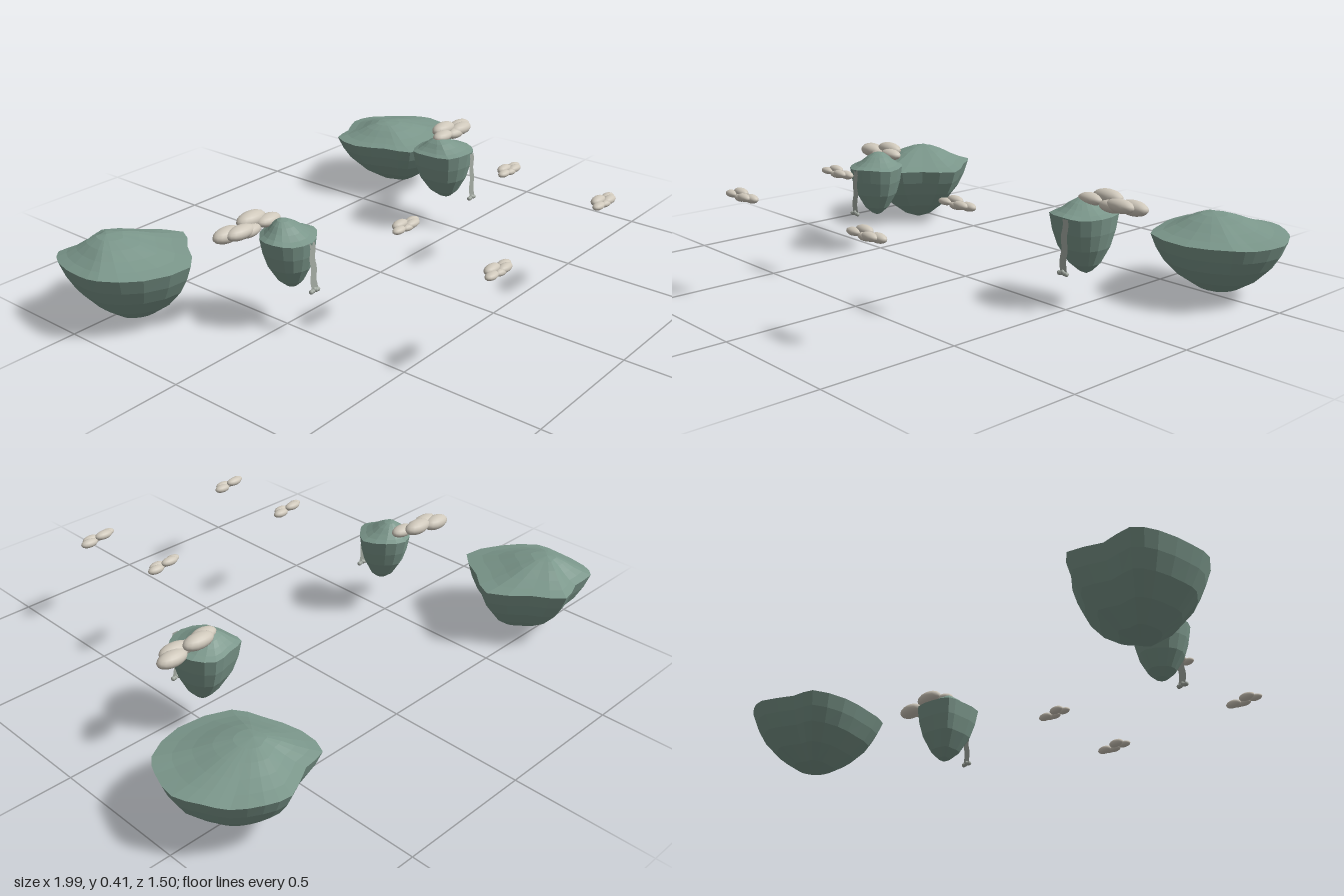
import * as THREE from 'three';

const green = new THREE.MeshStandardMaterial({ color: 0x7b978b, flatShading: true });
green.name = 'mossGreen';
const cream = new THREE.MeshStandardMaterial({ color: 0xcfc8bb });
cream.name = 'cloudCream';
const water = new THREE.MeshStandardMaterial({ color: 0xa3aaa2, side: THREE.DoubleSide });
water.name = 'paleWater';

// Outlines run clockwise seen from above: [x, z]
const ISLANDS = [
  {
    name: 'largeRightIsland', rimY: 0.235, peak: [-0.83, 0.305, -0.5], tip: [-0.785, 0, -0.436], steep: false,
    outline: [[-0.72, -0.67], [-0.64, -0.57], [-0.55, -0.44], [-0.63, -0.33], [-0.73, -0.205], [-0.89, -0.25],
      [-0.99, -0.355], [-1, -0.44], [-0.98, -0.57], [-0.93, -0.635], [-0.83, -0.635]],
  },
  {
    name: 'largeLeftIsland', rimY: 0.225, peak: [0.69, 0.285, -0.53], tip: [0.75, 0.012, -0.5], steep: false,
    outline: [[0.745, -0.75], [0.83, -0.73], [0.91, -0.67], [0.955, -0.6], [0.99, -0.515], [0.96, -0.4],
      [0.92, -0.335], [0.77, -0.275], [0.59, -0.32], [0.55, -0.42], [0.51, -0.55], [0.54, -0.67], [0.63, -0.69]],
  },
  {
    name: 'smallRightIsland', rimY: 0.333, peak: [-0.505, 0.388, -0.005], tip: [-0.49, 0.143, 0.02], steep: true,
    outline: [[-0.495, -0.09], [-0.425, -0.055], [-0.39, 0.03], [-0.44, 0.09], [-0.495, 0.12], [-0.56, 0.095],
      [-0.595, 0.04], [-0.58, -0.035]],
  },
  {
    name: 'smallLeftIsland', rimY: 0.322, peak: [0.475, 0.37, -0.1], tip: [0.515, 0.115, -0.08], steep: true,
    outline: [[0.4, -0.16], [0.47, -0.185], [0.54, -0.195], [0.595, -0.14], [0.605, -0.05], [0.565, 0.01],
      [0.5, 0.03], [0.415, 0], [0.395, -0.1]],
  },
];

// Profiles: [spread from apex, height fraction from rim to apex]
const HILL = [[1, 0], [0.8, 0.16], [0.6, 0.4], [0.4, 0.7], [0.2, 0.92]];
const BOWL = [[1, 0], [0.92, 0.22], [0.8, 0.44], [0.58, 0.69], [0.3, 0.89]];
const STEEP_BOWL = [[1, 0], [0.92, 0.27], [0.77, 0.54], [0.47, 0.82], [0.2, 0.95]];

// Rings shrinking from the rim towards an apex, closed by a fan
function shell(rim, apex, profile, faceUp) {
  const n = rim.length;
  const positions = [];
  const index = [];
  for (const [spread, h] of profile) {
    for (const p of rim) {
      positions.push(
        apex[0] + (p.x - apex[0]) * spread,
        p.y + (apex[1] - p.y) * h,
        apex[2] + (p.z - apex[2]) * spread,
      );
    }
  }
  positions.push(...apex);
  const tri = (a, b, c) => (faceUp ? index.push(a, c, b) : index.push(a, b, c));
  for (let r = 0; r < profile.length; r++) {
    for (let i = 0; i < n; i++) {
      const j = (i + 1) % n;
      const a = r * n + i, b = r * n + j;
      if (r === profile.length - 1) {
        tri(a, b, profile.length * n);
      } else {
        tri(a, b, b + n);
        tri(a, b + n, a + n);
      }
    }
  }
  const geometry = new THREE.BufferGeometry();
  geometry.setAttribute('position', new THREE.Float32BufferAttribute(positions, 3));
  geometry.setIndex(index);
  geometry.computeVertexNormals();
  return geometry;
}

function addMesh(parent, name, geometry, material) {
  const mesh = new THREE.Mesh(geometry, material);
  mesh.name = name;
  parent.add(mesh);
  return mesh;
}

function island({ name, rimY, peak, tip, steep, outline }) {
  const group = new THREE.Group();
  group.name = name;
  const points = outline.map(([x, z], i) => new THREE.Vector3(x, rimY + 0.003 * Math.sin(i * 2.3), z));
  const rim = new THREE.CatmullRomCurve3(points, true).getPoints(outline.length * 2).slice(0, -1);
  addMesh(group, 'hill', shell(rim, peak, HILL, true), green);
  addMesh(group, 'rockUnderside', shell(rim, tip, steep ? STEEP_BOWL : BOWL, false), green);
  return group;
}

// Puffs in units of cloud width: [x, y, z, radiusX, radiusY, radiusZ]
const PUFFS = [
  [-0.31, 0.01, 0.06, 0.19, 0.08, 0.11],
  [-0.13, 0.05, -0.06, 0.23, 0.1, 0.12],
  [0.02, -0.03, 0.05, 0.19, 0.08, 0.1],
  [0.16, 0.0, 0.05, 0.22, 0.09, 0.11],
  [0.28, -0.02, -0.06, 0.22, 0.1, 0.12],
];
const puffGeometry = new THREE.SphereGeometry(1, 16, 10);

function cloud(name, x, y, z, width, flip) {
  const group = new THREE.Group();
  group.name = name;
  for (const [px, py, pz, rx, ry, rz] of PUFFS) {
    const puff = addMesh(group, 'puff', puffGeometry, cream);
    puff.position.set(px * flip, py, pz);
    puff.scale.set(rx, ry, rz);
  }
  group.position.set(x, y, z);
  group.scale.setScalar(width);
  return group;
}

// Thin wavering ribbon with a row of foam at its foot
function waterfall(name, x, z, top, bottom) {
  const group = new THREE.Group();
  group.name = name;
  const height = top - bottom;
  const ribbon = new THREE.PlaneGeometry(0.024, height, 2, 10);
  const p = ribbon.attributes.position;
  for (let i = 0; i < p.count; i++) {
    const t = 0.5 - p.getY(i) / height;
    p.setX(i, p.getX(i) * (1 + 0.3 * t) + 0.003 * Math.sin(t * 14));
    p.setZ(i, 0.006 * t);
  }
  ribbon.computeVertexNormals();
  addMesh(group, 'fallingWater', ribbon, water).position.y = (top + bottom) / 2;
  for (let i = -2; i <= 2; i++) {
    const foam = addMesh(group, 'foam', puffGeometry, water);
    foam.position.set(i * 0.008, bottom + 0.003 * Math.cos(i * 2), 0.006);
    foam.scale.setScalar(0.008);
  }
  group.position.set(x, 0, z);
  return group;
}

export function createModel() {
  const model = new THREE.Group();
  model.name = 'floatingIslands';
  for (const spec of ISLANDS) model.add(island(spec));

  model.add(waterfall('rightWaterfall', -0.495, 0.118, 0.333, 0.165));
  model.add(waterfall('leftWaterfall', 0.52, 0.034, 0.322, 0.142));

  model.add(cloud('largeRightCloud', -0.588, 0.365, -0.08, 0.265, -1));
  model.add(cloud('largeLeftCloud', 0.592, 0.365, -0.115, 0.265, 1));
  model.add(cloud('smallRightCloud', -0.297, 0.39, 0.345, 0.15, 1));
  model.add(cloud('smallLeftCloud', 0.325, 0.388, 0.33, 0.15, 1));
  model.add(cloud('frontRightCloud', -0.328, 0.36, 0.72, 0.155, 1));
  model.add(cloud('frontLeftCloud', 0.34, 0.36, 0.705, 0.16, 1));
  return model;
}
